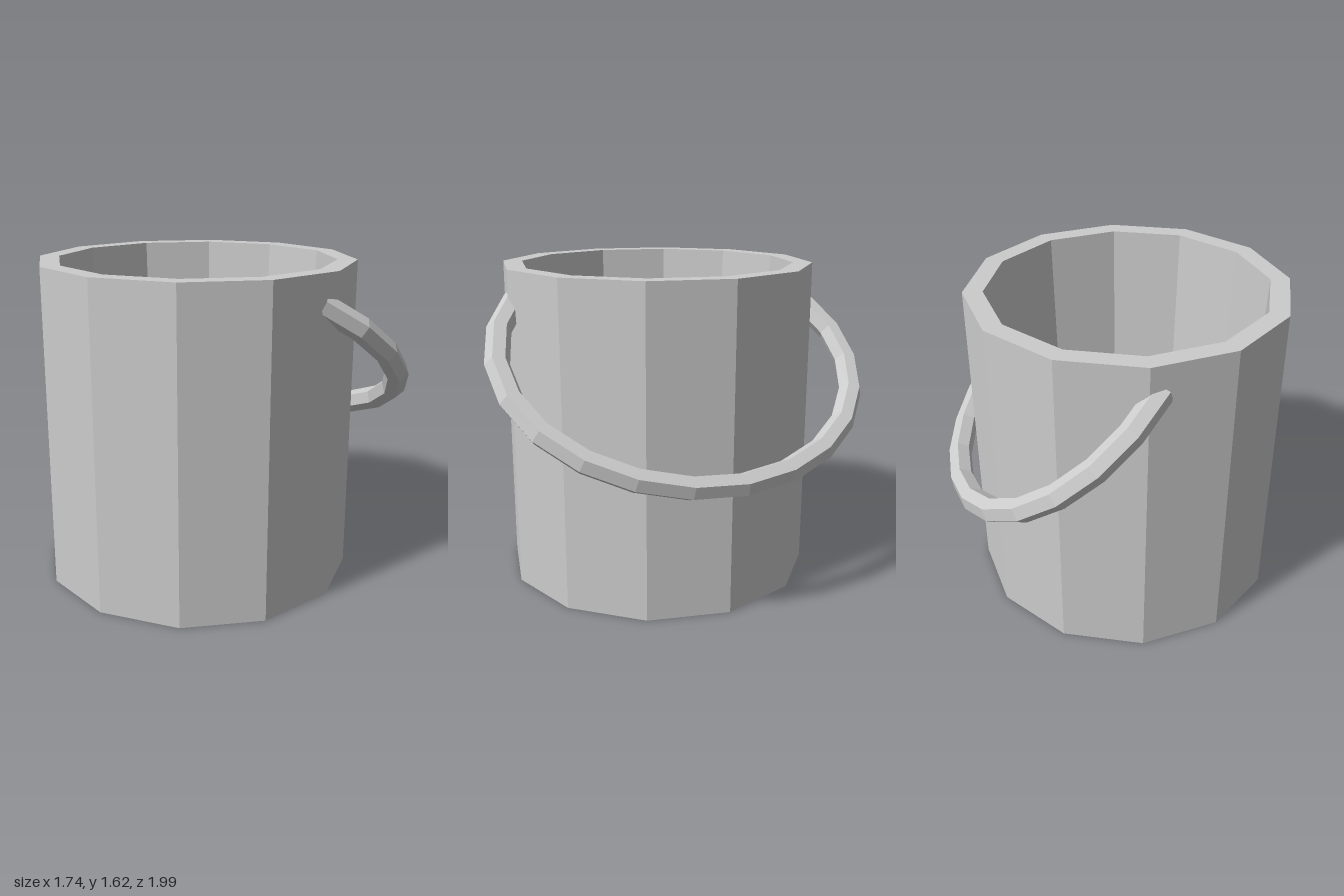
import * as THREE from 'three';

const SIDES = 12;
const BUCKET_X = -0.078;

// Closed low-poly profile: underside, outer wall, rim, tapered inner wall, floor
function bucketGeometry() {
  const profile = [
    [0, 0], [0.795, 0], [0.795, 1.615], [0.697, 1.615], [0.637, 0.12], [0, 0.12],
  ].map(([r, y]) => new THREE.Vector2(r, y));
  return new THREE.LatheGeometry(profile, SIDES).toNonIndexed();
}

// Hexagonal bar swept along part of an ellipse, its ends sunk into the wall
function handleGeometry() {
  const a = 0.755, b = 0.94, bar = 0.06, segments = 16, facets = 6;
  const half = THREE.MathUtils.degToRad(128);
  const geometry = new THREE.TorusGeometry(1, bar, facets, segments);
  const position = geometry.attributes.position;
  for (let j = 0, k = 0; j <= facets; j++) {
    const v = (j / facets) * Math.PI * 2;
    for (let i = 0; i <= segments; i++, k++) {
      const u = -half + (i / segments) * half * 2;
      const out = new THREE.Vector2(b * Math.cos(u), a * Math.sin(u)).normalize();
      const r = bar * Math.cos(v);
      position.setXYZ(k, a * Math.cos(u) + out.x * r, b * Math.sin(u) + out.y * r, bar * Math.sin(v));
    }
  }
  return geometry.toNonIndexed();
}

export function createModel() {
  const group = new THREE.Group();
  group.name = 'bucket';
  const grey = new THREE.MeshStandardMaterial({ color: 0xcccccc, flatShading: true });
  grey.name = 'grey';

  const body = new THREE.Mesh(bucketGeometry(), grey);
  body.name = 'bucketBody';
  body.position.x = BUCKET_X;
  body.geometry.computeVertexNormals();

  // Lay the handle flat, then let it droop toward +x
  const handle = new THREE.Mesh(handleGeometry().rotateX(Math.PI / 2).rotateZ(-0.684), grey);
  handle.name = 'handle';
  handle.position.set(0.225, 1.167, 0);
  handle.geometry.computeVertexNormals();

  group.add(body, handle);
  return group;
}
